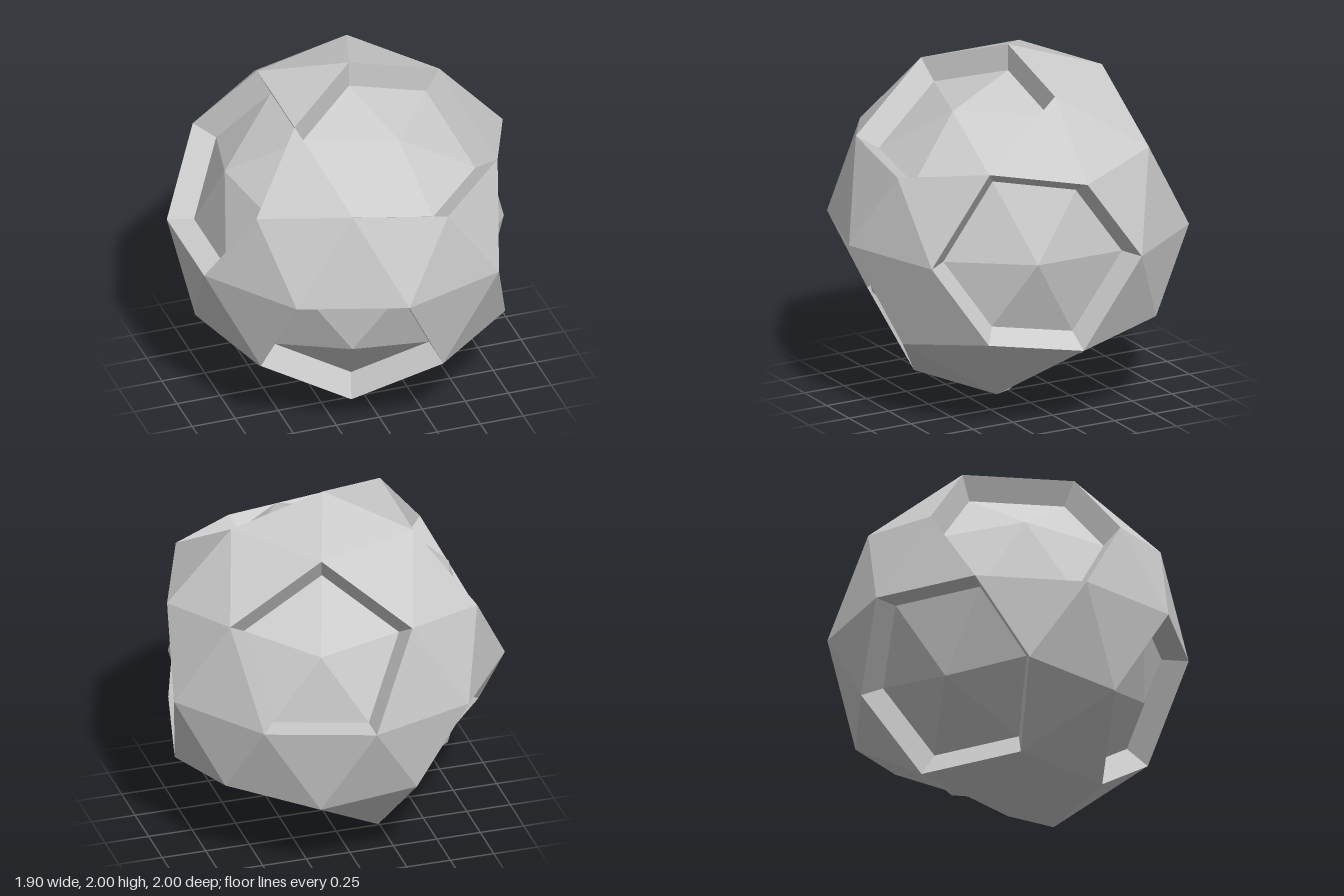
import * as THREE from 'three';

const INSET = 0.85; // recessed panels are scaled towards the centre of the ball

// Unit direction from a height and an angle in degrees around the y axis
function onSphere(y, deg) {
  const r = Math.sqrt(1 - y * y), a = THREE.MathUtils.degToRad(deg);
  return new THREE.Vector3(r * Math.cos(a), y, r * Math.sin(a));
}

// The 20 faces of an icosahedron standing on a corner
function icosahedronFaces() {
  const h = 1 / Math.sqrt(5);
  const top = new THREE.Vector3(0, 1, 0), bottom = new THREE.Vector3(0, -1, 0);
  const faces = [];
  for (let k = 0; k < 5; k++) {
    const u0 = onSphere(h, 72 * k), u1 = onSphere(h, 72 * k + 72);
    const l0 = onSphere(-h, 72 * k + 36), l1 = onSphere(-h, 72 * k + 108);
    faces.push([top, u1, u0], [u0, u1, l0], [u1, l1, l0], [bottom, l0, l1]);
  }
  return faces;
}

// Split each face into four and push the new corners out to the sphere
function subdivide(faces) {
  const mid = (p, q) => p.clone().add(q).normalize();
  return faces.flatMap(([a, b, c]) => {
    const ab = mid(a, b), bc = mid(b, c), ca = mid(c, a);
    return [[a, ab, ca], [ab, b, bc], [ca, bc, c], [ab, bc, ca]];
  });
}

function facetMesh(name, triangles) {
  const geometry = new THREE.BufferGeometry().setFromPoints(triangles.flat());
  geometry.computeVertexNormals();
  const mesh = new THREE.Mesh(geometry, new THREE.MeshStandardMaterial({
    color: 0xcccccc, flatShading: true, side: THREE.DoubleSide,
  }));
  mesh.name = name;
  return mesh;
}

export function createModel() {
  const group = new THREE.Group();
  group.name = 'facetedBall';

  // Middles of the five- and six-sided recesses
  const recesses = [
    [-0.276, -0.447, 0.851],
    [0.162, 0.851, 0.5],
    [0.276, 0.447, -0.851],
    [-0.851, 0.526, 0],
    [0.951, 0, 0.309],
    [0.425, -0.851, -0.309],
    [-0.688, -0.526, -0.5],
  ].map((p) => ({ centre: new THREE.Vector3(...p), panel: [], walls: [] }));

  const shell = [];
  for (const face of subdivide(icosahedronFaces())) {
    const recess = recesses.find((r) => face.some((v) => v.distanceTo(r.centre) < 0.05));
    if (!recess) {
      shell.push(face);
      continue;
    }
    // Sunken facet, with a wall along the edge opposite the recess middle
    recess.panel.push(face.map((v) => v.clone().multiplyScalar(INSET)));
    const i = face.findIndex((v) => v.distanceTo(recess.centre) < 0.05);
    const a = face[(i + 1) % 3], b = face[(i + 2) % 3];
    const a2 = a.clone().multiplyScalar(INSET), b2 = b.clone().multiplyScalar(INSET);
    recess.walls.push([a, b, b2], [a, b2, a2]);
  }

  group.add(facetMesh('outerShell', shell));
  recesses.forEach((r, i) => {
    const part = new THREE.Group();
    part.name = `recess${i + 1}`;
    part.add(facetMesh('sunkenPanel', r.panel), facetMesh('recessWalls', r.walls));
    group.add(part);
  });

  // Stand the ball on the ground
  group.children.forEach((part) => { part.position.y = 1; });
  return group;
}
